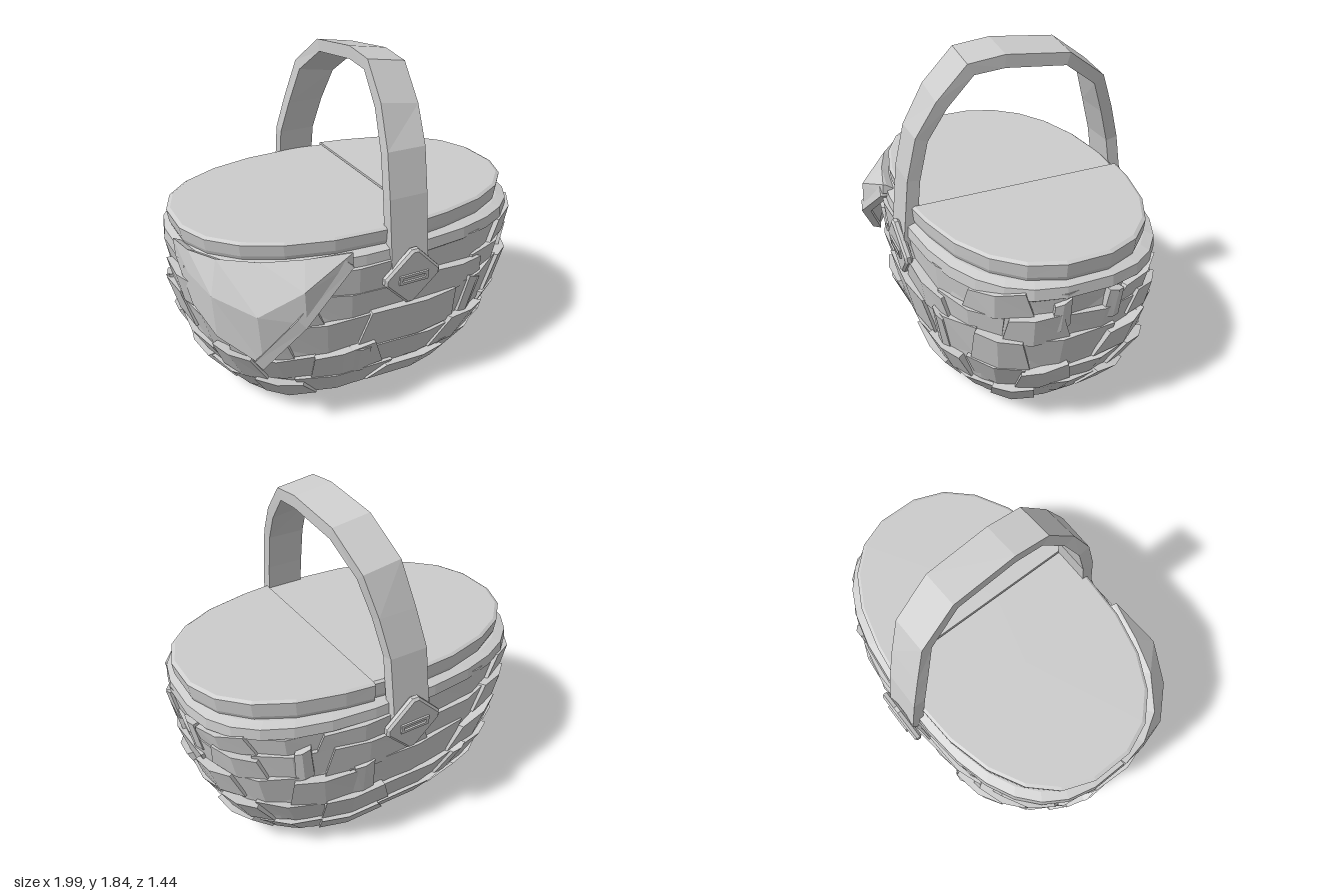
import * as THREE from 'three';

const grey = new THREE.MeshStandardMaterial({ color: 0xcccccc });
grey.name = 'pale grey';
const DEG = Math.PI / 180;

// Skin closed rings of points into a capped, faceted solid
function loft(rings) {
  const pos = [];
  const tri = (...pts) => pts.forEach((p) => pos.push(p.x, p.y, p.z));
  const n = rings[0].length;
  for (let i = 0; i < rings.length - 1; i++) {
    for (let j = 0; j < n; j++) {
      const k = (j + 1) % n;
      const a = rings[i][j], b = rings[i][k], c = rings[i + 1][k], d = rings[i + 1][j];
      tri(a, b, c);
      tri(a, c, d);
    }
  }
  [rings[0], rings[rings.length - 1]].forEach((ring, end) => {
    const mid = ring.reduce((s, p) => s.add(p), new THREE.Vector3()).divideScalar(n);
    for (let j = 0; j < n; j++) {
      const k = (j + 1) % n;
      if (end) tri(mid, ring[j], ring[k]);
      else tri(mid, ring[k], ring[j]);
    }
  });
  const geo = new THREE.BufferGeometry();
  geo.setAttribute('position', new THREE.Float32BufferAttribute(pos, 3));
  geo.computeVertexNormals();
  return geo;
}

function add(parent, name, geo) {
  const mesh = new THREE.Mesh(geo, grey);
  mesh.name = name;
  parent.add(mesh);
  return mesh;
}

// Rounded oval outline; angle 0 is +x and 270 degrees is the front
function oval(a, y, rx, rz, power = 2.6) {
  const c = Math.cos(a), s = Math.sin(a), e = 2 / power;
  return new THREE.Vector3(
    Math.sign(c) * Math.abs(c) ** e * rx, y, -Math.sign(s) * Math.abs(s) ** e * rz);
}
const ovalRing = (y, rx, rz, n = 28, power = 2.6) =>
  Array.from({ length: n }, (_, i) => oval((i + 0.5) / n * Math.PI * 2, y, rx, rz, power));

// Basket wall: height, half width, half depth
const wall = [[0, 0.5, 0.33], [0.045, 0.7, 0.465], [0.2, 0.815, 0.54], [0.4, 0.905, 0.602],
  [0.6, 0.94, 0.622], [0.8, 0.95, 0.618], [0.95, 0.955, 0.605]];

function onWall(a, y, off) {
  let i = 0;
  while (i < wall.length - 2 && y > wall[i + 1][0]) i++;
  const [y0, x0, z0] = wall[i], [y1, x1, z1] = wall[i + 1];
  const t = (y - y0) / (y1 - y0);
  return oval(a, y, x0 + (x1 - x0) * t + off, z0 + (z1 - z0) * t + off);
}

let seed = 7;
function rand() {
  seed = (seed * 16807) % 2147483647;
  return seed / 2147483647;
}

// One slat following the wall, with slanted ends and a proud upper edge
function slat(a0, a1, y0, y1, out, slant) {
  const rings = [];
  const tilt = (rand() - 0.5) * 0.09;
  const steps = 2;
  for (let i = 0; i <= steps; i++) {
    const t = i / steps;
    const a = a0 + (a1 - a0) * t, at = a + slant * (0.5 - t) * 2;
    // Courses rise towards the two ends of the basket
    const lift = (y) => y + 0.1 * Math.cos(a) ** 2 * (1 - y / 0.92) * Math.min(1, y / 0.1)
      + tilt * (t - 0.5);
    const bulge = i % steps ? 0.012 : 0;
    const b = Math.max(0.045, lift(y0)), top = lift(y1);
    rings.push([onWall(a, b, -0.04), onWall(at, top, -0.04),
      onWall(at, top, out + bulge), onWall(a, b, out - 0.026 + bulge)]);
  }
  return loft(rings);
}

function buildWeave(parent) {
  const weave = new THREE.Group();
  weave.name = 'wovenSlats';
  parent.add(weave);
  // Bottom, top, slat count, phase for each course
  const rows = [[0.04, 0.19, 14, 0.3], [0.19, 0.385, 16, 0.75], [0.38, 0.6, 14, 0.1],
    [0.58, 0.76, 14, 0.6], [0.73, 0.89, 12, 0.2]];
  for (const [y0, y1, n, phase] of rows) {
    const step = Math.PI * 2 / n;
    for (let i = 0; i < n; i++) {
      const proud = i % 2 === 0;
      const a0 = (i + phase + (rand() - 0.5) * 0.25) * step;
      const len = step * (proud ? 1.12 : 1.2);
      add(weave, 'slat', slat(a0, a0 + len, y0 + (rand() - 0.5) * 0.03,
        y1 + (rand() - 0.5) * 0.04, proud ? 0.04 : 0.022, step * (proud ? 0.14 : -0.05)));
    }
  }
  // Short uprights crossing the courses
  for (const [deg, y0, y1] of [[262, 0.2, 0.4], [296, 0.38, 0.62], [8, 0.66, 0.86],
    [352, 0.66, 0.86], [80, 0.38, 0.62], [110, 0.2, 0.4], [172, 0.4, 0.62], [60, 0.6, 0.8]]) {
    add(weave, 'upright', slat((deg - 3.5) * DEG, (deg + 3.5) * DEG, y0, y1, 0.04, 0.01));
  }
}

// Half of the lid, cut at the seam on one side and rising slightly to the back
function lidHalf(side, seam, height) {
  const ring = (y, rx, rz) => ovalRing(y, rx, rz, 22, 2.35).map((p) => {
    p.x = side > 0 ? Math.max(p.x, seam) : Math.min(p.x, seam);
    if (y > 1) p.y -= 0.012 * p.z;
    return p;
  });
  return loft([ring(0.92, 0.93, 0.58), ring(0.98, 0.955, 0.6),
    ring(height - 0.01, 0.965, 0.605), ring(height, 0.945, 0.59)]);
}

// Cloth hanging over the front corner: angle, lower edge, stand-off
function buildCloth(parent) {
  const drape = [[184, 0.88, 0.03], [196, 0.68, 0.045], [212, 0.58, 0.09],
    [231, 0.46, 0.135], [246, 0.7, 0.14], [260, 0.93, 0.05]];
  add(parent, 'clothFlap', loft(drape.map(([deg, y, off]) => {
    const a = deg * DEG;
    return [onWall(a, y, off - 0.03), onWall(a, 0.95, -0.02), onWall(a, 0.98, 0.03),
      onWall(a, (y + 0.96) / 2 + 0.04, off), onWall(a, y, off)];
  })));
  // Raised hem along the slanted edge
  add(parent, 'clothHem', loft(drape.slice(3).map(([deg, y, off]) => {
    const a = deg * DEG, b = (deg - 2.5) * DEG;
    return [onWall(a, y - 0.015, off - 0.04), onWall(b, y + 0.035, off - 0.04),
      onWall(b, y + 0.035, off + 0.012), onWall(a, y - 0.015, off + 0.012)];
  })));
}

function buildHandle(parent) {
  // Centre line from the front foot over the top to the back foot
  const path = [[0.06, 0.8, 0.63], [0.06, 1.2, 0.585], [0.07, 1.42, 0.535], [0.09, 1.61, 0.43],
    [0.105, 1.775, 0.28], [0.11, 1.795, 0.1], [0.105, 1.76, -0.25], [0.07, 1.61, -0.455],
    [0.03, 1.4, -0.535], [0.0, 1.2, -0.6], [0.0, 0.85, -0.655]];
  add(parent, 'handle', loft(path.map(([x, y, z], i) => {
    const p = path[Math.max(0, i - 1)], q = path[Math.min(path.length - 1, i + 1)];
    const t = new THREE.Vector2(q[1] - p[1], q[2] - p[2]).normalize().multiplyScalar(0.034);
    // The strap rolls a little near the top
    const roll = y > 1.5 ? 0.016 : 0;
    const corner = (w, h) =>
      new THREE.Vector3(x + w * 0.107, y - t.y * h - roll * w, z + t.x * h);
    return [corner(-1, -1), corner(-1, 1), corner(1, 1), corner(1, -1)];
  })));
}

// Diamond clasp with blunted corners and a slotted bar
function buildClasp(parent, name, x, y, z, facing) {
  const clasp = new THREE.Group();
  clasp.name = name;
  const r = 0.15, c = 0.014;
  const plate = new THREE.Shape([[r, -c], [r, c], [c, r], [-c, r], [-r, c], [-r, -c], [-c, -r], [c, -r]]
    .map((p) => new THREE.Vector2(...p)));
  add(clasp, 'claspPlate', new THREE.ExtrudeGeometry(plate,
    { depth: 0.02, bevelSize: 0.012, bevelThickness: 0.012, bevelSegments: 1 }));
  const rect = (C, w, h) => new C([[-w, -h], [w, -h], [w, h], [-w, h]].map((p) => new THREE.Vector2(...p)));
  const slot = rect(THREE.Shape, 0.085, 0.026);
  slot.holes.push(rect(THREE.Path, 0.068, 0.011));
  add(clasp, 'claspSlot', new THREE.ExtrudeGeometry(slot, { depth: 0.01, bevelEnabled: false }))
    .position.z = 0.032;
  clasp.position.set(x, y, z);
  clasp.rotation.set(facing > 0 ? 0.1 : -0.05, facing > 0 ? 0 : Math.PI, 0);
  parent.add(clasp);
}

export function createModel() {
  const basket = new THREE.Group();
  basket.name = 'picnicBasket';
  add(basket, 'basketWall', loft(wall.map(([y, rx, rz]) => ovalRing(y, rx, rz))));
  buildWeave(basket);
  add(basket, 'rim', loft([ovalRing(0.86, 0.955, 0.61), ovalRing(0.885, 0.985, 0.64),
    ovalRing(0.945, 0.98, 0.635), ovalRing(0.96, 0.93, 0.59)]));
  add(basket, 'lidRight', lidHalf(-1, 0.165, 1.056));
  add(basket, 'lidLeft', lidHalf(1, 0.17, 1.064));
  buildCloth(basket);
  buildHandle(basket);
  buildClasp(basket, 'frontClasp', 0.07, 0.78, 0.645, 1);
  buildClasp(basket, 'backClasp', 0, 0.825, -0.68, -1);
  return basket;
}
